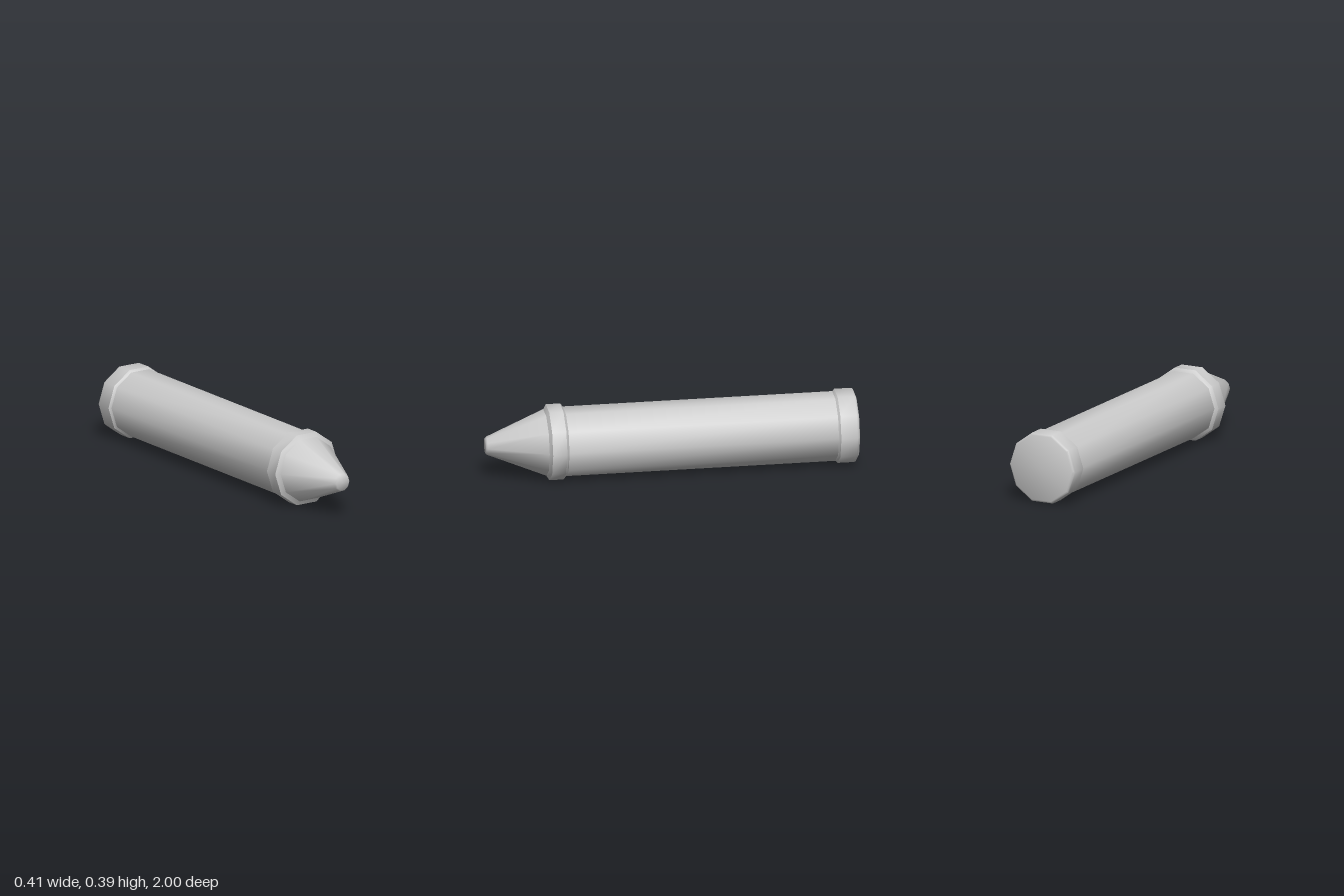
import * as THREE from 'three';
import { toCreasedNormals } from 'three/addons/utils/BufferGeometryUtils.js';

const SIDES = 10;
const AXIS_Y = 0.194; // height of the long axis: flat facet rests on the ground

const material = new THREE.MeshStandardMaterial({ color: 0xcccccc });

// Ten-sided turned part; profile is [radius, z] from back to front.
function turned(name, profile, crease) {
  const points = profile.map(([r, z]) => new THREE.Vector2(r, z));
  const lathe = new THREE.LatheGeometry(points, SIDES, Math.PI / 2, Math.PI * 2);
  lathe.rotateX(Math.PI / 2);
  lathe.translate(0, AXIS_Y, 0);
  const mesh = new THREE.Mesh(toCreasedNormals(lathe, crease), material);
  mesh.name = name;
  return mesh;
}

export function createModel() {
  const group = new THREE.Group();
  group.name = 'crayon';

  // Long straight barrel between the two bands
  group.add(turned('barrel', [[0.187, -0.9], [0.187, 0.6]], 0.65));

  // Closed end cap with a softened rear rim and a bevelled front lip
  group.add(turned('endCap', [
    [0, -1], [0.186, -1], [0.195, -0.995], [0.199, -0.985],
    [0.199, -0.897], [0.187, -0.886],
  ], 0.75));

  // Raised collar, bevelled on both edges
  group.add(turned('collar', [
    [0.187, 0.571], [0.204, 0.585], [0.204, 0.662], [0.179, 0.677],
  ], 0.65));

  // Tapered point with a blunt, softened tip
  group.add(turned('point', [
    [0.179, 0.677], [0.049, 0.992], [0.042, 1], [0, 1],
  ], 0.95));

  return group;
}
